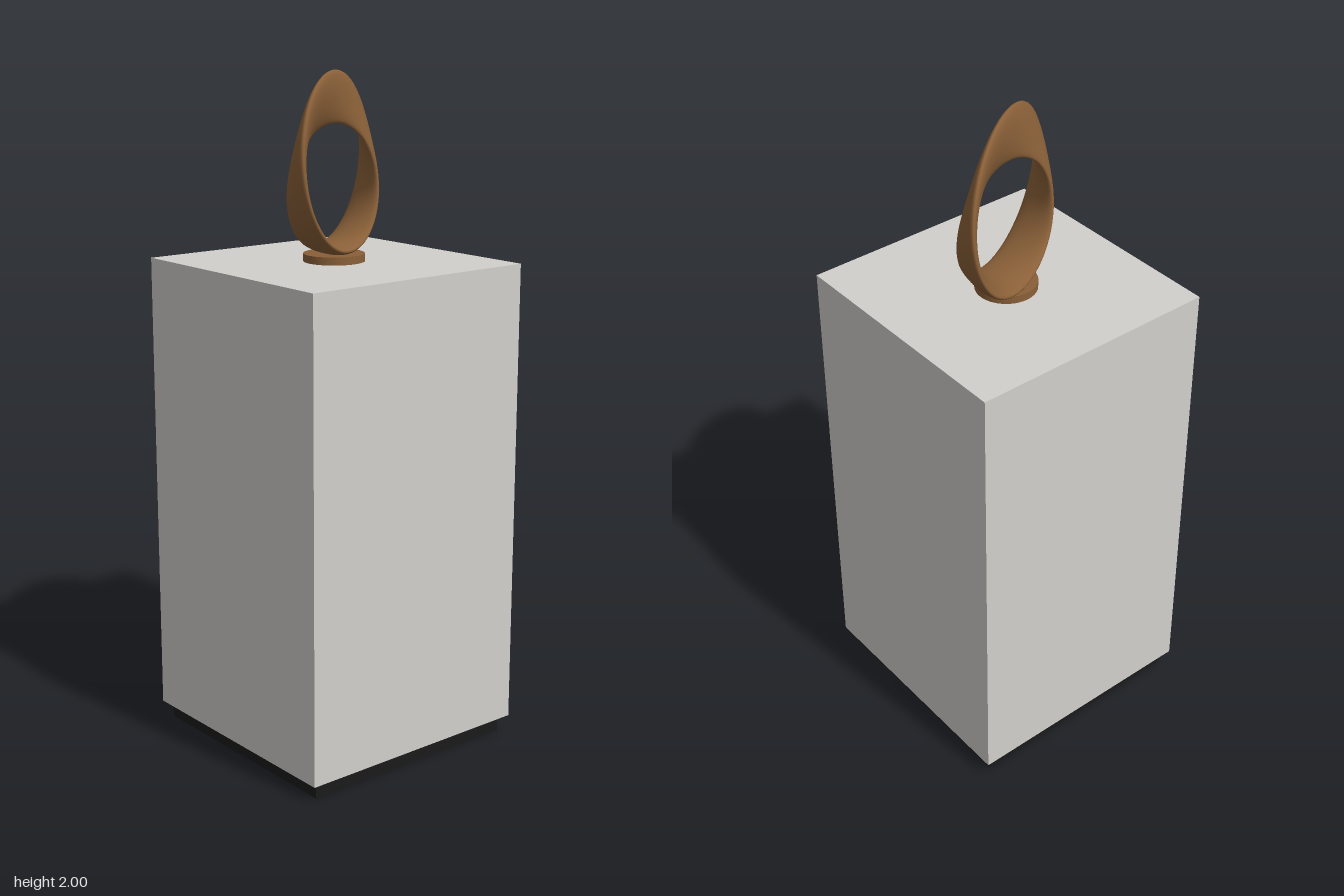
import * as THREE from 'three';

// Closed band with a half twist: an elliptical section turns 180 degrees around the loop.
function twistedBand(radius, halfWidth, halfThickness, steps = 160, sides = 32) {
  const positions = [], index = [];
  for (let i = 0; i < steps; i++) {
    const phi = (i / steps) * Math.PI * 2; // measured from the top, towards +x
    const c = Math.cos(phi / 2), s = Math.sin(phi / 2);
    for (let j = 0; j < sides; j++) {
      const v = (j / sides) * Math.PI * 2;
      const a = halfWidth * Math.cos(v), b = halfThickness * Math.sin(v);
      const r = radius + a * c + b * s;
      positions.push(r * Math.sin(phi), r * Math.cos(phi), b * c - a * s);
    }
  }
  // The last section joins the first one turned by half a revolution.
  const at = (i, j) => i === steps
    ? (j + sides / 2) % sides
    : i * sides + (j % sides);
  for (let i = 0; i < steps; i++) {
    for (let j = 0; j < sides; j++) {
      const p = at(i, j), q = at(i, j + 1), u = at(i + 1, j), w = at(i + 1, j + 1);
      index.push(p, q, u, q, w, u);
    }
  }
  const geometry = new THREE.BufferGeometry();
  geometry.setAttribute('position', new THREE.Float32BufferAttribute(positions, 3));
  geometry.setIndex(index);
  geometry.computeVertexNormals();
  return geometry;
}

export function createModel() {
  const model = new THREE.Group();
  model.name = 'sculptureOnPlinth';

  const stone = new THREE.MeshStandardMaterial({ color: 0xd2d0cb });
  const black = new THREE.MeshStandardMaterial({ color: 0x1a1a1a });
  const bronze = new THREE.MeshStandardMaterial({ color: 0x8a6038 });

  const add = (name, geometry, material, y) => {
    const mesh = new THREE.Mesh(geometry, material);
    mesh.name = name;
    mesh.position.y = y;
    model.add(mesh);
    return mesh;
  };

  // Recessed foot and tall square plinth
  add('plinthFoot', new THREE.BoxGeometry(0.716, 0.05, 0.716), black, 0.025);
  add('plinth', new THREE.BoxGeometry(0.764, 1.405, 0.764), stone, 0.7525);

  // Small round mount under the sculpture
  add('mountDisc', new THREE.CylinderGeometry(0.09, 0.09, 0.023, 48), bronze, 1.4665);

  // Twisted ring: upright at the top, lying flat on the mount
  const ring = add('twistedRing', twistedBand(0.215, 0.075, 0.018), bronze, 1.71);
  ring.rotation.y = 0.4;

  return model;
}
